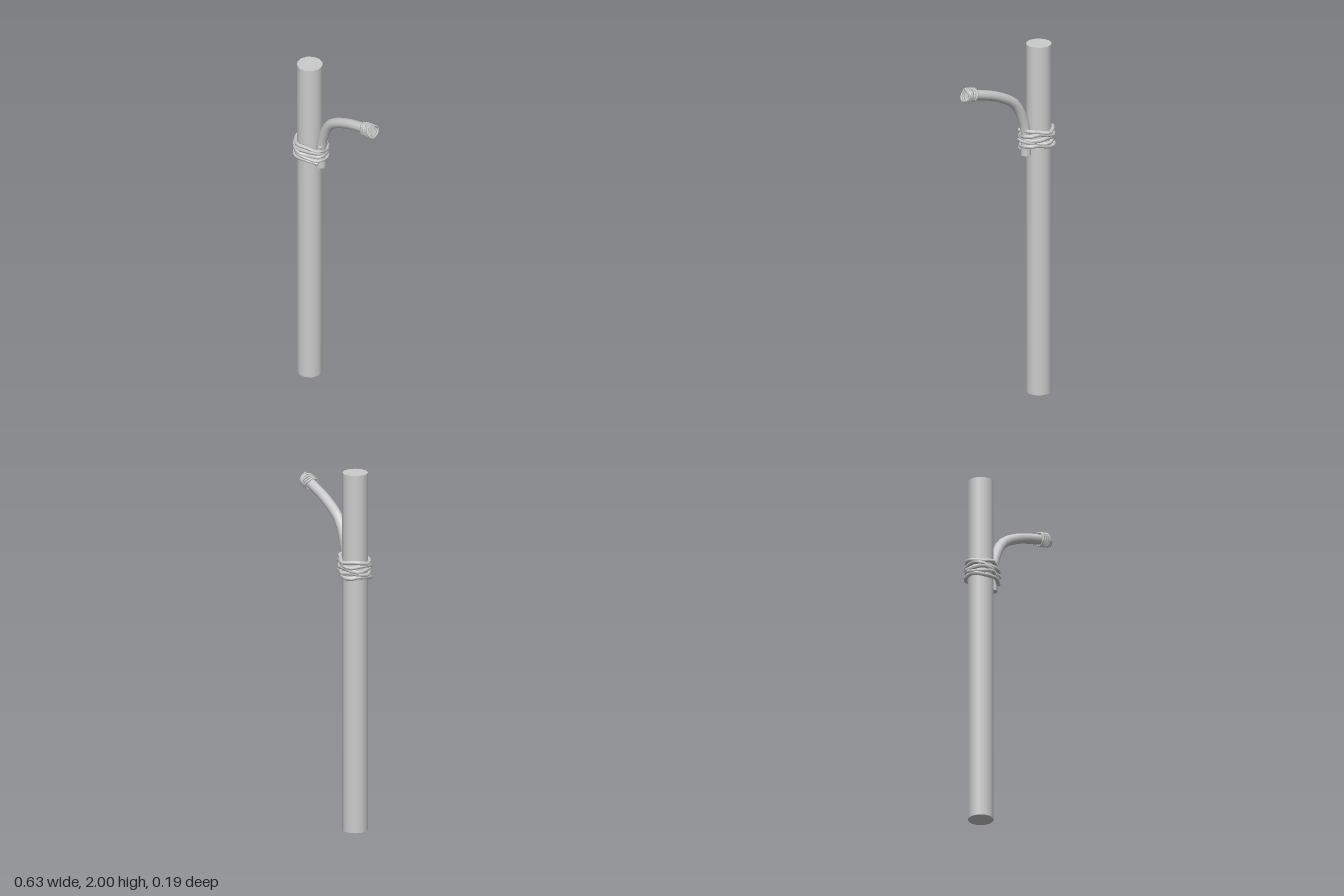
import * as THREE from 'three';

const V = (x, y, z) => new THREE.Vector3(x, y, z);

export function createModel() {
  const model = new THREE.Group();
  const grey = new THREE.MeshStandardMaterial({ color: 0xcccccc });
  grey.name = 'plain grey';

  function add(name, geometry, parent = model) {
    const mesh = new THREE.Mesh(geometry, grey);
    mesh.name = name;
    parent.add(mesh);
    return mesh;
  }

  // Tube along points, with a flat disc closing each end
  function cappedTube(name, points, segments, radius, sides) {
    const group = new THREE.Group();
    group.name = name;
    const curve = new THREE.CatmullRomCurve3(points);
    add(name + 'Body', new THREE.TubeGeometry(curve, segments, radius, sides), group);
    [0, 1].forEach((t) => {
      const cap = add(name + 'Cap', new THREE.CircleGeometry(radius, sides), group);
      const dir = curve.getTangent(t).multiplyScalar(t ? 1 : -1);
      cap.position.copy(curve.getPoint(t));
      cap.quaternion.setFromUnitVectors(V(0, 0, 1), dir);
    });
    model.add(group);
  }

  // Upright pole
  const poleX = -0.228;
  const pole = add('pole', new THREE.CylinderGeometry(0.07, 0.07, 2, 12));
  pole.position.set(poleX, 1, 0);

  // Curved arm tied to the pole
  const armX = -0.137;
  cappedTube('arm', [
    V(armX, 1.382, 0), V(armX, 1.48, 0), V(-0.122, 1.57, 0), V(-0.06, 1.692, 0),
    V(0.07, 1.767, 0), V(0.17, 1.8, 0), V(0.265, 1.825, 0),
  ], 14, 0.028, 10);

  // Rope wound round the pole and the foot of the arm
  const wrap = [];
  const turns = 5, perTurn = 10;
  for (let i = 0; i <= turns * perTurn; i++) {
    const a = (i / perTurn) * Math.PI * 2 + 0.3;
    const c = Math.cos(a), s = Math.sin(a);
    const loose = 0.005 * Math.sin(i * 2.3);
    // outer of the two circles in this direction
    const d = armX - poleX;
    const aroundArm = d * c + Math.sqrt(Math.max(0, 0.036 ** 2 - (d * s) ** 2));
    const r = Math.max(0.079, c > 0 && Math.abs(d * s) < 0.036 ? aroundArm : 0) + loose;
    const y = 1.418 + 0.102 * i / (turns * perTurn) + 0.007 * Math.sin(i * 1.7);
    wrap.push(V(poleX + r * c, y, r * s));
  }
  cappedTube('lashing', wrap, 100, 0.0115, 6);

  // Thin cord coiled round the tip, its last turn hanging free
  const axis = V(0.96, 0.22, 0).normalize();
  const up = V(-axis.y, axis.x, 0);
  const coil = [];
  for (let i = 0; i <= 45; i++) {
    const a = (i / 9) * Math.PI * 2;
    const r = 0.035 + 0.003 * Math.sin(i * 2.1);
    coil.push(V(0.224, 1.815, 0)
      .addScaledVector(axis, 0.075 * i / 45 + 0.005 * Math.sin(i * 1.3))
      .addScaledVector(up, r * Math.cos(a))
      .add(V(0, 0, r * Math.sin(a))));
  }
  cappedTube('tipCoil', coil, 90, 0.006, 5);

  return model;
}
